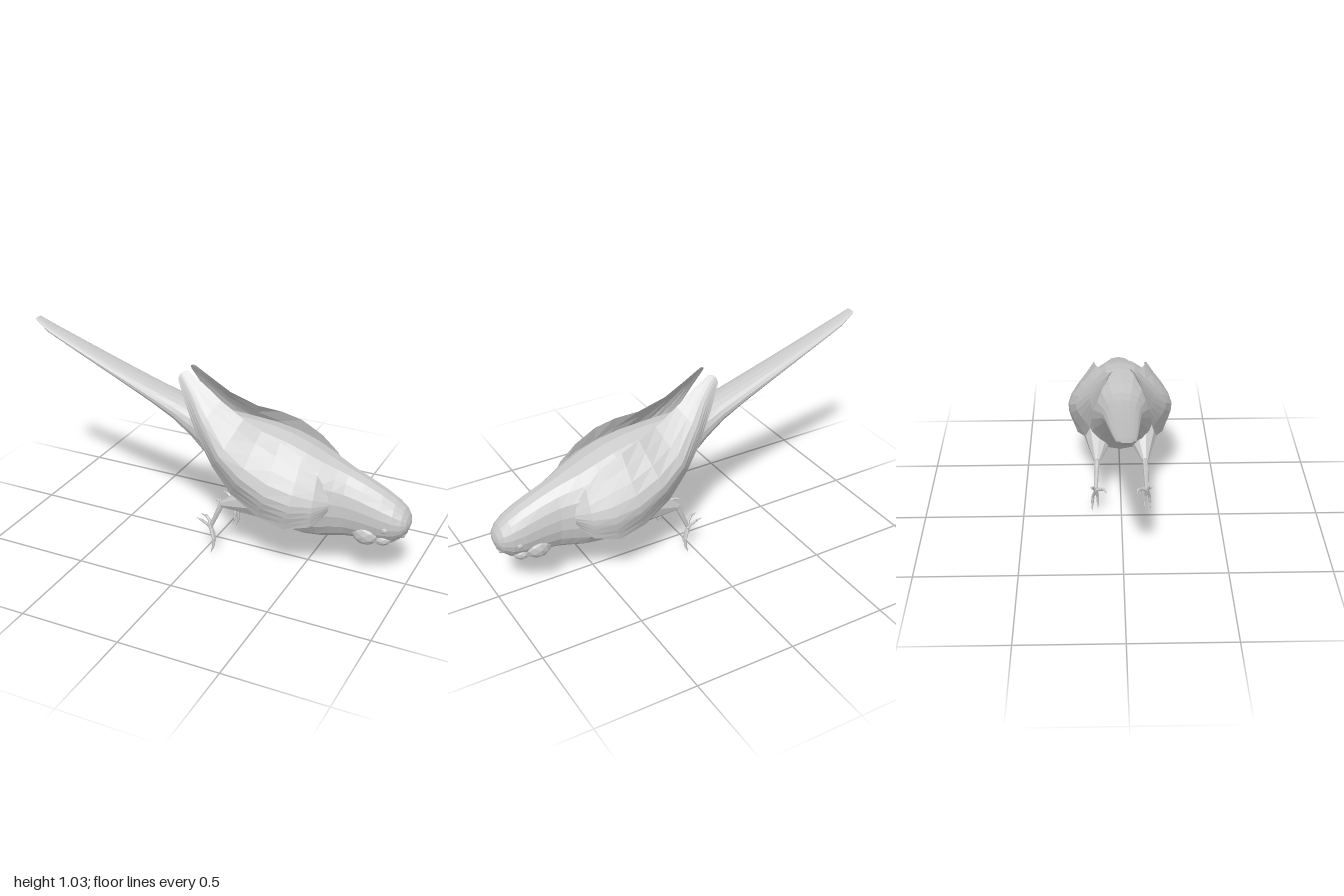
import * as THREE from 'three';

const material = new THREE.MeshStandardMaterial({ color: 0xcccccc, flatShading: true, side: THREE.DoubleSide });
const V = (x, y, z) => new THREE.Vector3(x, y, z);

function mesh(name, geometry, parent) {
  const m = new THREE.Mesh(geometry, material);
  m.name = name;
  parent.add(m);
  return m;
}

// Skin closed rings of points, with a fan cap at each end
function loft(rings) {
  const n = rings[0].length, points = rings.flat(), index = [];
  for (let i = 0; i < rings.length - 1; i++) {
    for (let j = 0; j < n; j++) {
      const a = i * n + j, b = i * n + (j + 1) % n;
      index.push(a, b, a + n, b, b + n, a + n);
    }
  }
  const last = (rings.length - 1) * n;
  for (let j = 1; j < n - 1; j++) {
    index.push(0, j + 1, j, last, last + j, last + j + 1);
  }
  const g = new THREE.BufferGeometry().setFromPoints(points);
  g.setIndex(index);
  g.computeVertexNormals();
  return g;
}

// Tapered bar between two points
function limb(name, a, b, ra, rb, parent, sides = 7) {
  const d = b.clone().sub(a);
  const m = mesh(name, new THREE.CylinderGeometry(rb, ra, d.length(), sides), parent);
  m.position.copy(a).add(b).multiplyScalar(0.5);
  m.quaternion.setFromUnitVectors(V(0, 1, 0), d.normalize());
  return m;
}

function blob(name, pos, size, parent, detail = 1) {
  const m = mesh(name, new THREE.IcosahedronGeometry(1, detail), parent);
  m.position.copy(pos);
  m.scale.copy(size);
  return m;
}

// Tail, trunk and head: x, top y, bottom y, half width
const bodyStations = [
  [-1, 1.032, 1.02, 0.025], [-0.92, 0.998, 0.965, 0.042], [-0.75, 0.935, 0.892, 0.055],
  [-0.55, 0.865, 0.805, 0.068], [-0.32, 0.79, 0.7, 0.083], [-0.2, 0.755, 0.635, 0.092],
  [-0.1, 0.73, 0.56, 0.105], [0, 0.715, 0.47, 0.125], [0.12, 0.71, 0.365, 0.15],
  [0.2, 0.705, 0.28, 0.165], [0.3, 0.695, 0.22, 0.185], [0.4, 0.675, 0.192, 0.198],
  [0.5, 0.64, 0.185, 0.198], [0.58, 0.605, 0.19, 0.178], [0.65, 0.575, 0.202, 0.14],
  [0.7, 0.553, 0.21, 0.118], [0.78, 0.52, 0.218, 0.107], [0.87, 0.478, 0.222, 0.098],
  [0.93, 0.443, 0.238, 0.087], [0.97, 0.41, 0.265, 0.07], [0.99, 0.38, 0.295, 0.05],
  [1, 0.352, 0.325, 0.02],
];

function bodyRing([x, top, bottom, w]) {
  const sides = 18;
  return Array.from({ length: sides }, (_, j) => {
    const a = (j / sides) * Math.PI * 2, c = Math.cos(a), s = Math.sin(a);
    const z = Math.sign(s) * Math.pow(Math.abs(s), 0.9) * w;
    return V(x, (top + bottom) / 2 + c * (top - bottom) / 2, z);
  });
}

// Wing sections from tip to shoulder: upper edge, outermost point, lower edge, thickness
const wingStations = [
  [V(-0.135, 0.91, 0.04), V(-0.162, 0.9, 0.058), V(-0.17, 0.872, 0.072), 0.008],
  [V(-0.05, 0.86, 0.042), V(-0.09, 0.82, 0.092), V(-0.12, 0.775, 0.102), 0.014],
  [V(0.05, 0.795, 0.055), V(0, 0.71, 0.152), V(-0.04, 0.63, 0.138), 0.025],
  [V(0.18, 0.738, 0.085), V(0.12, 0.59, 0.225), V(0.05, 0.49, 0.155), 0.05],
  [V(0.29, 0.715, 0.12), V(0.24, 0.52, 0.26), V(0.16, 0.38, 0.18), 0.07],
  [V(0.39, 0.685, 0.135), V(0.37, 0.46, 0.268), V(0.32, 0.315, 0.222), 0.08],
  [V(0.5, 0.63, 0.13), V(0.49, 0.43, 0.252), V(0.46, 0.288, 0.232), 0.08],
  [V(0.58, 0.555, 0.135), V(0.585, 0.42, 0.207), V(0.575, 0.312, 0.2), 0.06],
  [V(0.63, 0.48, 0.13), V(0.648, 0.42, 0.15), V(0.635, 0.365, 0.14), 0.03],
];

function wingRing([top, mid, low, thick], side) {
  const inner = mid.clone().add(V(0, 0, -thick));
  const outside = new THREE.CatmullRomCurve3([top, mid, low]).getPoints(8);
  const inside = new THREE.CatmullRomCurve3([low, inner, top]).getPoints(6).slice(1, -1);
  const ring = [...outside, ...inside].map((p) => V(p.x, p.y, p.z * side));
  return side > 0 ? ring : ring.reverse();
}

// Toe paths from the ankle
const toes = [
  [V(0.03, 0.14, 0.13), V(0.052, 0.085, 0.145), V(0.054, 0.045, 0.148), V(0.04, 0.004, 0.15)],
  [V(0.03, 0.14, 0.13), V(0.045, 0.095, 0.122), V(0.047, 0.06, 0.12), V(0.034, 0.024, 0.119)],
  [V(0.03, 0.14, 0.13), V(0.012, 0.155, 0.105), V(-0.015, 0.168, 0.085), V(-0.05, 0.165, 0.076)],
  [V(0.03, 0.14, 0.13), V(0.015, 0.16, 0.143), V(-0.008, 0.178, 0.15), V(-0.038, 0.185, 0.15)],
];

function addLeg(side, parent) {
  const leg = new THREE.Group();
  leg.name = side > 0 ? 'leftLeg' : 'rightLeg';
  parent.add(leg);
  const at = (p) => V(p.x, p.y, p.z * side);
  limb('thigh', at(V(0.27, 0.34, 0.11)), at(V(0.085, 0.278, 0.122)), 0.085, 0.016, leg, 9);
  limb('shin', at(V(0.09, 0.285, 0.122)), at(V(0.03, 0.14, 0.13)), 0.015, 0.01, leg);
  blob('ankle', at(V(0.03, 0.14, 0.13)), V(0.013, 0.013, 0.013), leg);
  const radii = [0.01, 0.008, 0.007, 0.001];
  for (const toe of toes) {
    for (let i = 0; i < 3; i++) {
      limb(i < 2 ? 'toe' : 'claw', at(toe[i]), at(toe[i + 1]), radii[i], radii[i + 1], leg, 6);
    }
  }
}

export function createModel() {
  const bird = new THREE.Group();
  bird.name = 'bird';
  mesh('body', loft(bodyStations.map(bodyRing)), bird);

  for (const side of [1, -1]) {
    const label = side > 0 ? 'left' : 'right';
    mesh(label + 'Wing', loft(wingStations.map((s) => wingRing(s, side))), bird);
    addLeg(side, bird);

    // Face
    blob(label + 'Cheek', V(0.805, 0.268, 0.062 * side), V(0.066, 0.058, 0.045), bird);
    blob(label + 'LowerCheek', V(0.88, 0.25, 0.04 * side), V(0.045, 0.035, 0.04), bird);
    blob(label + 'Eye', V(0.9, 0.318, 0.084 * side), V(0.018, 0.018, 0.012), bird);
    blob(label + 'Nostril', V(0.967, 0.278, 0.016 * side), V(0.018, 0.016, 0.018), bird);
  }

  // Hooked beak, curving down and back under the face
  const beakRing = (x, y, r, w) => Array.from({ length: 8 }, (_, j) => {
    const a = (j / 8) * Math.PI * 2;
    return V(x + Math.cos(a) * r, y, Math.sin(a) * w);
  });
  mesh('beak', loft([
    beakRing(0.892, 0.205, 0.004, 0.004), beakRing(0.908, 0.22, 0.018, 0.016),
    beakRing(0.925, 0.245, 0.03, 0.026), beakRing(0.94, 0.285, 0.034, 0.032),
  ]), bird);
  return bird;
}
